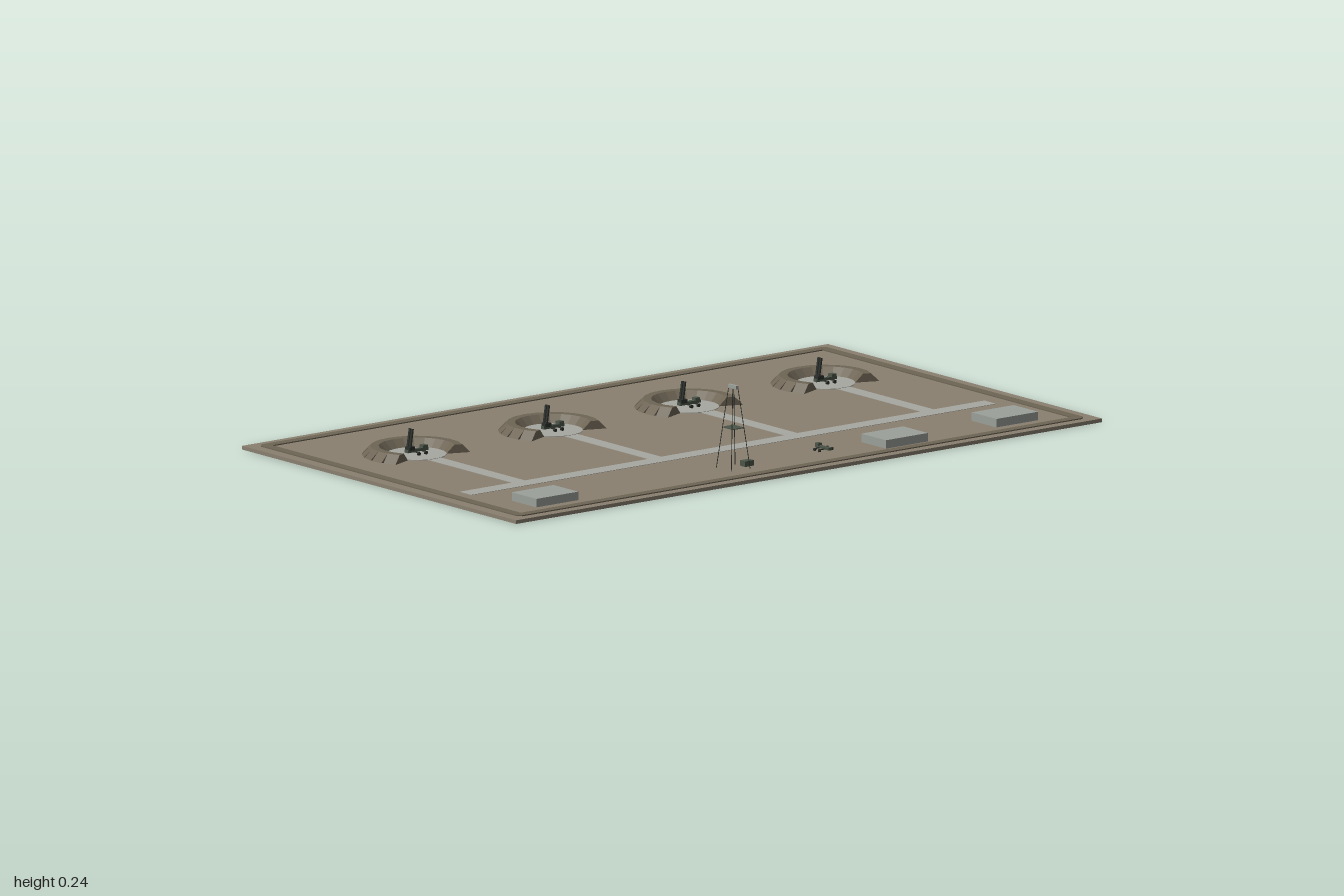
import * as THREE from 'three';

const mat = (color) => new THREE.MeshStandardMaterial({ color, flatShading: true });
const EARTH = mat(0x8a8070), BERM = mat(0x6e6555), ROAD = mat(0xa8a8a2),
  CONCRETE = mat(0x9ca09a), GREEN = mat(0x4c564a), DARK = mat(0x2c302c);
const GROUND = 0.01; // top of the base slab

function add(parent, name, geometry, material, x = 0, y = 0, z = 0) {
  const mesh = new THREE.Mesh(geometry, material);
  mesh.name = name;
  mesh.position.set(x, y, z);
  parent.add(mesh);
  return mesh;
}

// box standing on height y
const box = (parent, name, material, w, h, d, x, y, z) =>
  add(parent, name, new THREE.BoxGeometry(w, h, d), material, x, y + h / 2, z);

// thin rod between two points
function rod(parent, name, a, b, radius, material, sides = 6) {
  const dir = b.clone().sub(a);
  const mesh = add(parent, name, new THREE.CylinderGeometry(radius, radius, dir.length(), sides), material);
  mesh.position.copy(a).add(b).multiplyScalar(0.5);
  mesh.quaternion.setFromUnitVectors(new THREE.Vector3(0, 1, 0), dir.normalize());
  return mesh;
}

// horseshoe of straight trapezoid banks, open towards +z
function createRevetment() {
  const group = new THREE.Group();
  group.name = 'revetment';
  const count = 14, from = -Math.PI / 6, step = (Math.PI * 4 / 3) / count;
  const profile = new THREE.Shape([[0.078, 0], [0.145, 0], [0.122, 0.023], [0.1, 0.023]]
    .map(([r, y]) => new THREE.Vector2(r, y)));
  const length = 0.123 * step;
  const geometry = new THREE.ExtrudeGeometry(profile, { depth: length, bevelEnabled: false });
  geometry.translate(0, 0, -length / 2);
  for (let i = 0; i < count; i++) {
    const bank = add(group, 'earthBank', geometry, BERM, 0, GROUND, 0);
    bank.rotation.y = from + (i + 0.5) * step;
  }
  return group;
}

// narrow carrier along x with wheels on outriggers
function createCarrier() {
  const group = new THREE.Group();
  group.name = 'carrier';
  box(group, 'chassis', GREEN, 0.07, 0.008, 0.013, 0, 0.006, 0);
  box(group, 'cab', GREEN, 0.016, 0.008, 0.016, 0.024, 0.013, 0);
  for (const x of [-0.012, 0.012]) {
    box(group, 'outrigger', DARK, 0.003, 0.003, 0.05, x, 0.006, 0);
    for (const side of [-1, 1]) {
      const wheel = add(group, 'wheel', new THREE.CylinderGeometry(0.005, 0.005, 0.006, 10), DARK, x, 0.005, side * 0.025);
      wheel.rotation.x = Math.PI / 2;
    }
  }
  return group;
}

// carrier with a pair of raised tubes
function createLauncher() {
  const group = createCarrier();
  group.name = 'launcher';
  box(group, 'tubeMount', DARK, 0.02, 0.01, 0.018, -0.022, 0.012, 0);
  for (const z of [-0.005, 0.005])
    rod(group, 'launchTube', new THREE.Vector3(-0.027, 0.012, z), new THREE.Vector3(-0.018, 0.07, z), 0.004, DARK, 10);
  return group;
}

// four-legged lattice mast
function createMast() {
  const group = new THREE.Group();
  group.name = 'mast';
  const height = 0.218;
  const corner = (i, y) => {
    const half = 0.032 - 0.023 * y / height;
    return new THREE.Vector3([1, 1, -1, -1][i % 4] * half, y, [1, -1, -1, 1][i % 4] * half);
  };
  for (let i = 0; i < 4; i++)
    rod(group, 'mastLeg', corner(i, 0), corner(i, height), 0.001, DARK);
  box(group, 'platform', GREEN, 0.04, 0.002, 0.045, 0, 0.11, 0);
  box(group, 'antenna', CONCRETE, 0.008, 0.009, 0.034, 0, height, 0);
  return group;
}

export function createModel() {
  const model = new THREE.Group();
  model.name = 'launchSite';

  // base and low perimeter bank
  box(model, 'ground', EARTH, 2, GROUND, 1.17, 0, 0, 0);
  const rect = (S, x, z, c) => new S([[-x + c, -z], [x - c, -z], [x, -z + c], [x, z - c],
    [x - c, z], [-x + c, z], [-x, z - c], [-x, -z + c]].map(([a, b]) => new THREE.Vector2(a, b)));
  const rim = rect(THREE.Shape, 0.967, 0.557, 0.012);
  rim.holes.push(rect(THREE.Path, 0.94, 0.53, 0.002));
  const rimGeometry = new THREE.ExtrudeGeometry(rim, { depth: 0.003, bevelEnabled: false });
  rimGeometry.rotateX(-Math.PI / 2);
  add(model, 'perimeterBank', rimGeometry, BERM, 0, GROUND, 0);

  // roads
  box(model, 'mainRoad', ROAD, 1.79, 0.001, 0.05, -0.005, GROUND, 0.245);

  // launch positions
  for (const x of [-0.7, -0.235, 0.23, 0.695]) {
    box(model, 'branchRoad', ROAD, 0.044, 0.001, 0.36, x, GROUND, 0.04);
    const position = new THREE.Group();
    position.name = 'launchPosition';
    position.position.set(x, 0, -0.215);
    add(position, 'pad', new THREE.CylinderGeometry(0.08, 0.08, 0.002, 32), ROAD, 0, GROUND + 0.001, 0);
    const launcher = createLauncher();
    launcher.position.y = GROUND + 0.002;
    position.add(createRevetment(), launcher);
    model.add(position);
  }

  // flat bunkers
  for (const [x, z] of [[-0.787, 0.442], [0.39, 0.462], [0.783, 0.442]])
    box(model, 'bunker', CONCRETE, 0.143, 0.023, 0.105, x, GROUND, z);

  // mast with generator, and the spare carrier
  const mast = createMast();
  mast.position.set(-0.147, GROUND, 0.445);
  model.add(mast);
  box(model, 'generator', GREEN, 0.03, 0.015, 0.022, -0.1, GROUND, 0.445);
  const carrier = createCarrier();
  carrier.position.set(0.175, GROUND, 0.427);
  carrier.rotation.y = Math.PI / 2;
  carrier.scale.setScalar(0.85);
  model.add(carrier);

  return model;
}
